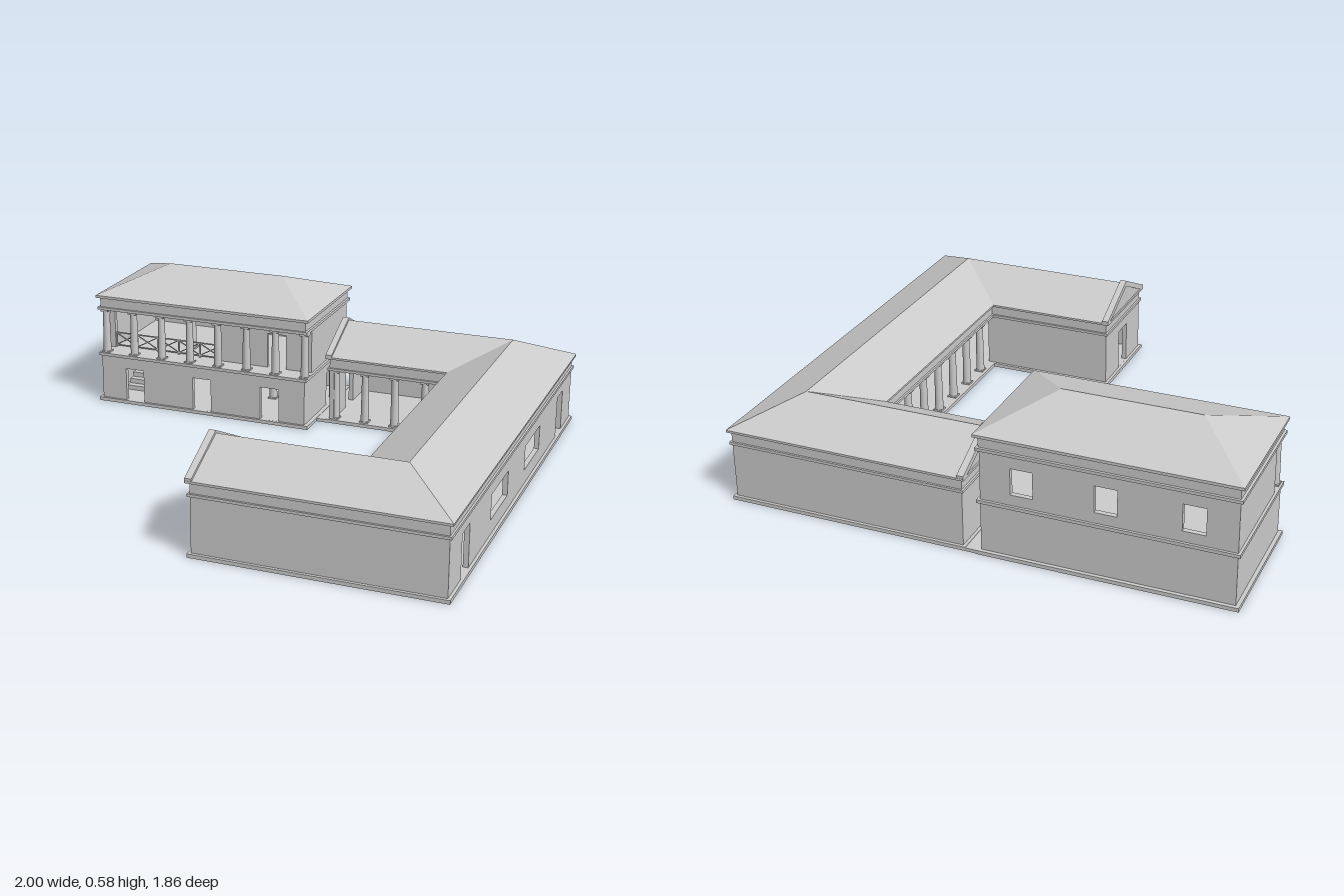
import * as THREE from 'three';

const mat = new THREE.MeshStandardMaterial({ color: 0xcccccc, side: THREE.DoubleSide, flatShading: true });
const smooth = new THREE.MeshStandardMaterial({ color: 0xcccccc });

export function createModel() {
  const root = new THREE.Group();

  const add = (name, geo, parent = root, m = mat) => {
    const mesh = new THREE.Mesh(geo, m);
    mesh.name = name;
    parent.add(mesh);
    return mesh;
  };
  const group = (name, parent = root) => {
    const g = new THREE.Group();
    g.name = name;
    parent.add(g);
    return g;
  };
  // Box given by its limits
  const box = (name, x0, x1, y0, y1, z0, z1, parent) => {
    const geo = new THREE.BoxGeometry(x1 - x0, y1 - y0, z1 - z0);
    geo.translate((x0 + x1) / 2, (y0 + y1) / 2, (z0 + z1) / 2);
    return add(name, geo, parent);
  };
  const polygon = pts => new THREE.Shape(pts.map(p => new THREE.Vector2(...p)));
  // Wall from u0 to u1 with rectangular openings [u0, u1, y0, y1]; axis 'x' or 'z' is its direction
  const T = 0.02;
  const wall = (name, axis, at, u0, u1, y0, y1, holes, parent) => {
    const rect = (a, b, c, d) => [[a, c], [b, c], [b, d], [a, d]];
    const shape = polygon(rect(u0, u1, y0, y1));
    holes.forEach(h => shape.holes.push(polygon(rect(...h))));
    const geo = new THREE.ExtrudeGeometry(shape, { depth: T, bevelEnabled: false });
    if (axis === 'z') geo.rotateY(-Math.PI / 2).translate(at + T, 0, 0);
    else geo.translate(0, 0, at);
    return add(name, geo, parent);
  };
  // Round column with a square base and capital
  const column = (x, y0, y1, z, parent) => {
    const c = group('column', parent);
    const shaft = add('shaft', new THREE.CylinderGeometry(0.0145, 0.0175, y1 - y0, 16), c, smooth);
    shaft.position.set(x, (y0 + y1) / 2, z);
    box('base', x - 0.019, x + 0.019, y0, y0 + 0.006, z - 0.019, z + 0.019, c);
    box('capital', x - 0.019, x + 0.019, y1 - 0.01, y1, z - 0.019, z + 0.019, c);
  };
  // Surface made of flat polygons, each fanned into triangles
  const faces = list => {
    const pos = [];
    list.forEach(f => {
      for (let i = 1; i < f.length - 1; i++) pos.push(...f[0], ...f[i], ...f[i + 1]);
    });
    const geo = new THREE.BufferGeometry();
    geo.setAttribute('position', new THREE.Float32BufferAttribute(pos, 3));
    geo.computeVertexNormals();
    return geo;
  };

  // ---------- Two-storey house ----------
  const house = group('house');
  box('plinth', -1, -0.015, 0, 0.015, -0.93, -0.385, house);
  const openings = [[-0.87, -0.785], [-0.55, -0.465], [-0.235, -0.15]];
  const doors = openings.map(o => [...o, 0.0151, 0.16]);
  const windows = openings.map(o => [...o, 0.265, 0.37]);

  // Ground floor
  wall('groundFrontWall', 'x', -0.415, -0.985, -0.033, 0.015, 0.21, doors, house);
  wall('groundBackWall', 'x', -0.915, -0.985, -0.033, 0.015, 0.21, [], house);
  wall('groundLeftWall', 'z', -0.053, -0.915, -0.395, 0.015, 0.21, [[-0.755, -0.665, 0.0151, 0.16]], house);
  wall('groundRightWall', 'z', -0.985, -0.915, -0.395, 0.015, 0.21, [], house);
  box('upperFloor', -0.985, -0.033, 0.205, 0.21, -0.915, -0.395, house);
  box('floorBand', -0.995, -0.022, 0.21, 0.223, -0.925, -0.387, house);

  // Stair and inner columns
  const stair = group('stair', house);
  for (let i = 0; i < 8; i++) {
    const z = -0.52 - i * 0.03;
    box('step', -0.93, -0.825, 0.015, 0.035 + i * 0.021, z - 0.03, z, stair);
  }
  box('stairWall', -0.822, -0.785, 0.015, 0.13, -0.78, -0.5, stair);
  [-0.5, -0.28].forEach(x => column(x, 0.015, 0.205, -0.66, house));

  // Upper storey, set back behind an open gallery
  wall('upperBackWall', 'x', -0.915, -0.985, -0.033, 0.223, 0.42, windows, house);
  wall('upperLeftWall', 'z', -0.053, -0.915, -0.48, 0.223, 0.42, [], house);
  wall('upperRightWall', 'z', -0.985, -0.915, -0.48, 0.223, 0.42, [], house);
  wall('galleryWall', 'x', -0.5, -0.985, -0.033, 0.223, 0.42,
    [[-0.96, -0.455, 0.2231, 0.4], [-0.235, -0.15, 0.2231, 0.375]], house);
  for (let i = 0; i < 8; i++) column(-0.968 + i * 0.1327, 0.223, 0.42, -0.415, house);
  [-0.64, -0.5].forEach(x => column(x, 0.223, 0.42, -0.6, house));

  // Crossed railing in the wide gallery opening
  const railing = group('railing', house);
  box('topRail', -0.96, -0.455, 0.286, 0.291, -0.493, -0.488, railing);
  box('bottomRail', -0.96, -0.455, 0.229, 0.234, -0.493, -0.488, railing);
  const bay = 0.101;
  for (let i = 0; i <= 5; i++) {
    const x = -0.96 + i * bay;
    box('railPost', x - 0.003, x + 0.003, 0.223, 0.291, -0.494, -0.487, railing);
    if (i < 5) [1, -1].forEach(s => {
      const bar = add('crossBar', new THREE.BoxGeometry(Math.hypot(bay, 0.055), 0.004, 0.004), railing);
      bar.position.set(x + bay / 2, 0.26, -0.49);
      bar.rotation.z = s * Math.atan2(0.055, bay);
    });
  }

  // Entablature and hipped roof
  box('architrave', -0.995, -0.02, 0.42, 0.432, -0.925, -0.387, house);
  box('frieze', -0.985, -0.03, 0.432, 0.474, -0.915, -0.395, house);
  box('cornice', -1, -0.014, 0.474, 0.485, -0.93, -0.382, house);
  const [a, b, c, d] = [[-1, -0.93], [-0.014, -0.93], [-0.014, -0.382], [-1, -0.382]].map(([x, z]) => [x, 0.485, z]);
  const r0 = [-0.77, 0.58, -0.66], r1 = [-0.24, 0.58, -0.66];
  add('hippedRoof', faces([[a, r0, r1, b], [b, r1, c], [c, r1, r0, d], [d, r0, a]]), house);

  // ---------- Three-winged courtyard building ----------
  const court = group('courtyardBuilding');
  // U-shaped layer; e pushes its edges outwards from the wall faces
  const layer = (name, e, y0, y1) => {
    const xo = 0.985 + e, xi = 0.57 - e, xe = 0.038 - e, zo = 0.915 + e, zi = 0.51 - e;
    const shape = polygon([[xe, -zo], [xo, -zo], [xo, zo], [xe, zo], [xe, zi], [xi, zi], [xi, -zi], [xe, -zi]]);
    const geo = new THREE.ExtrudeGeometry(shape, { depth: y1 - y0, bevelEnabled: false });
    geo.rotateX(Math.PI / 2).translate(0, y1, 0);
    add(name, geo, court);
  };
  layer('plinth', 0.012, 0, 0.015);
  layer('architrave', 0.008, 0.235, 0.246);
  layer('frieze', 0, 0.246, 0.288);
  layer('cornice', 0.014, 0.288, 0.297);
  box('linkSlab', -0.016, 0.027, 0, 0.013, -0.927, -0.497);

  // Walls
  const Y0 = 0.015, Y1 = 0.235;
  const endDoor = s => [Math.min(s * 0.665, s * 0.76), Math.max(s * 0.665, s * 0.76), 0.0151, 0.187];
  wall('frontWall', 'x', 0.895, 0.038, 0.985, Y0, Y1, [], court);
  wall('backWall', 'x', -0.915, 0.038, 0.985, Y0, Y1, [], court);
  wall('outerSideWall', 'z', 0.965, -0.915, 0.915, Y0, Y1,
    [endDoor(1), endDoor(-1), [0.138, 0.375, 0.075, 0.175], [-0.36, -0.123, 0.075, 0.175]], court);
  wall('frontWingCourtWall', 'x', 0.51, 0.038, 0.59, Y0, Y1, [], court);
  wall('frontWingEndWall', 'z', 0.038, 0.51, 0.915, Y0, Y1, [endDoor(1)], court);
  wall('backWingEndWall', 'z', 0.038, -0.915, -0.51, Y0, Y1, [endDoor(-1)], court);

  // Colonnade along the back wing and the side wing
  const colonnade = group('colonnade', court);
  for (let i = 0; i < 4; i++) column(0.06 + i * 0.132, Y0, Y1, -0.53, colonnade);
  for (let i = 0; i < 8; i++) column(0.588, Y0, Y1, -0.53 + i * 0.135, colonnade);

  // Roof: strips between the outer eaves, the ridge and the inner eaves
  const path = (x, z, y) => [[0.03, y, -z], [x, y, -z], [x, y, z], [0.03, y, z]];
  const outer = path(1, 0.928, 0.297), ridge = path(0.775, 0.711, 0.4), inner = path(0.555, 0.495, 0.297);
  const slopes = [];
  for (let i = 0; i < 3; i++) {
    slopes.push([outer[i], ridge[i], ridge[i + 1], outer[i + 1]]);
    slopes.push([ridge[i], inner[i], inner[i + 1], ridge[i + 1]]);
  }
  slopes.push([outer[0], inner[0], ridge[0]], [outer[3], ridge[3], inner[3]]);
  add('wingRoof', faces(slopes), court);

  // Raking cornices on the two gable ends
  [1, -1].forEach(s => {
    const chevron = polygon([[0.928, 0.297], [0.928, 0.307], [0.711, 0.411], [0.495, 0.307],
      [0.495, 0.297], [0.525, 0.297], [0.711, 0.386], [0.898, 0.297]].map(([z, y]) => [s * z, y]));
    const geo = new THREE.ExtrudeGeometry(chevron, { depth: 0.027, bevelEnabled: false });
    geo.rotateY(-Math.PI / 2).translate(0.051, 0, 0);
    add('gableCornice', geo, court);
  });

  return root;
}
